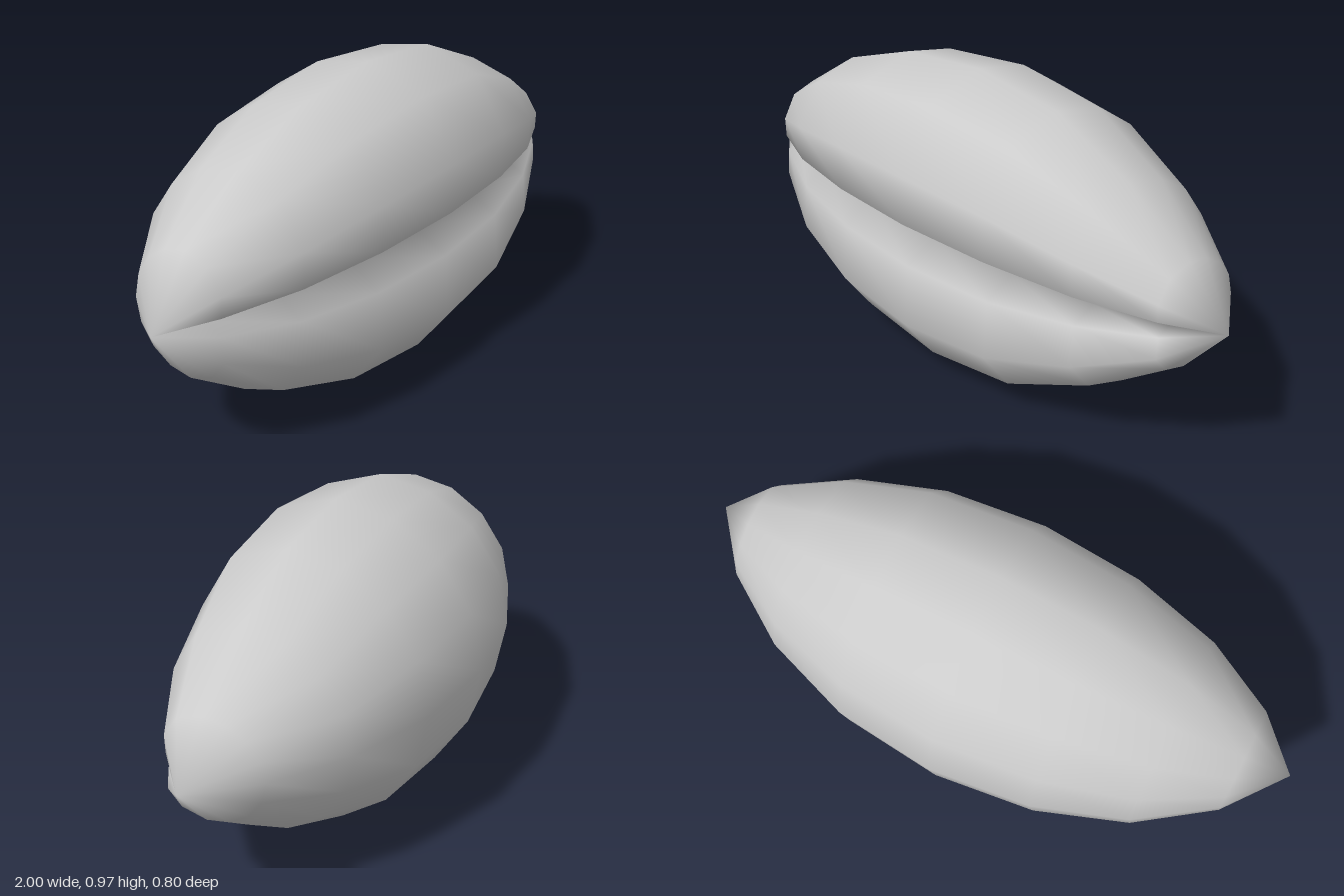
import * as THREE from 'three';

// Cross-section at mid length as [z, y] about the long axis: top, back, bottom, then the notched front
const PROFILE = [
  [0, 0.484], [-0.185, 0.447], [-0.34, 0.342], [-0.447, 0.184],
  [-0.485, 0], [-0.447, -0.188], [-0.34, -0.345], [-0.185, -0.448],
  [0, -0.485], [0.203, -0.418], [0.31, -0.276], [0.295, -0.078],
  [0.187, 0], [0.31, 0.069], [0.315, 0.227], [0.203, 0.417],
];
const NOTCH = 12;

// Sections along the length: x, depth scale, height scale, crease height
const SECTIONS = [
  [-0.85, 0.39, 0.405, 0.004],
  [-0.62, 0.72, 0.715, 0.006],
  [-0.33, 0.925, 0.925, 0.007],
  [0, 1, 1, -0.014],
  [0.33, 0.925, 0.925, -0.016],
  [0.62, 0.71, 0.66, -0.01],
  [0.85, 0.39, 0.34, -0.003],
];
const AXIS_Y = 0.488, AXIS_Z = 0.085;

function podGeometry() {
  const n = PROFILE.length, positions = [], index = [];
  for (const [x, sz, sy, crease] of SECTIONS) {
    PROFILE.forEach(([z, y], j) => {
      const height = j === NOTCH ? crease : y * sy;
      positions.push(x, AXIS_Y + height, AXIS_Z + z * sz);
    });
  }
  // Pointed tips
  const left = SECTIONS.length * n, right = left + 1, last = left - n;
  positions.push(-1, AXIS_Y, AXIS_Z, 1, AXIS_Y, AXIS_Z);

  for (let j = 0; j < n; j++) {
    const k = (j + 1) % n;
    index.push(left, j, k);
    for (let i = 0; i < SECTIONS.length - 1; i++) {
      const a = i * n + j, b = i * n + k, c = a + n, d = b + n;
      index.push(a, c, b, b, c, d);
    }
    index.push(last + j, right, last + k);
  }

  const geometry = new THREE.BufferGeometry();
  geometry.setAttribute('position', new THREE.Float32BufferAttribute(positions, 3));
  geometry.setIndex(index);
  geometry.computeVertexNormals();
  return geometry;
}

export function createModel() {
  const group = new THREE.Group();
  group.name = 'creasedPod';
  // Smooth pointed body with a lengthwise groove in front
  const body = new THREE.Mesh(podGeometry(), new THREE.MeshStandardMaterial({ color: 0xcccccc }));
  body.name = 'groovedBody';
  group.add(body);
  return group;
}
